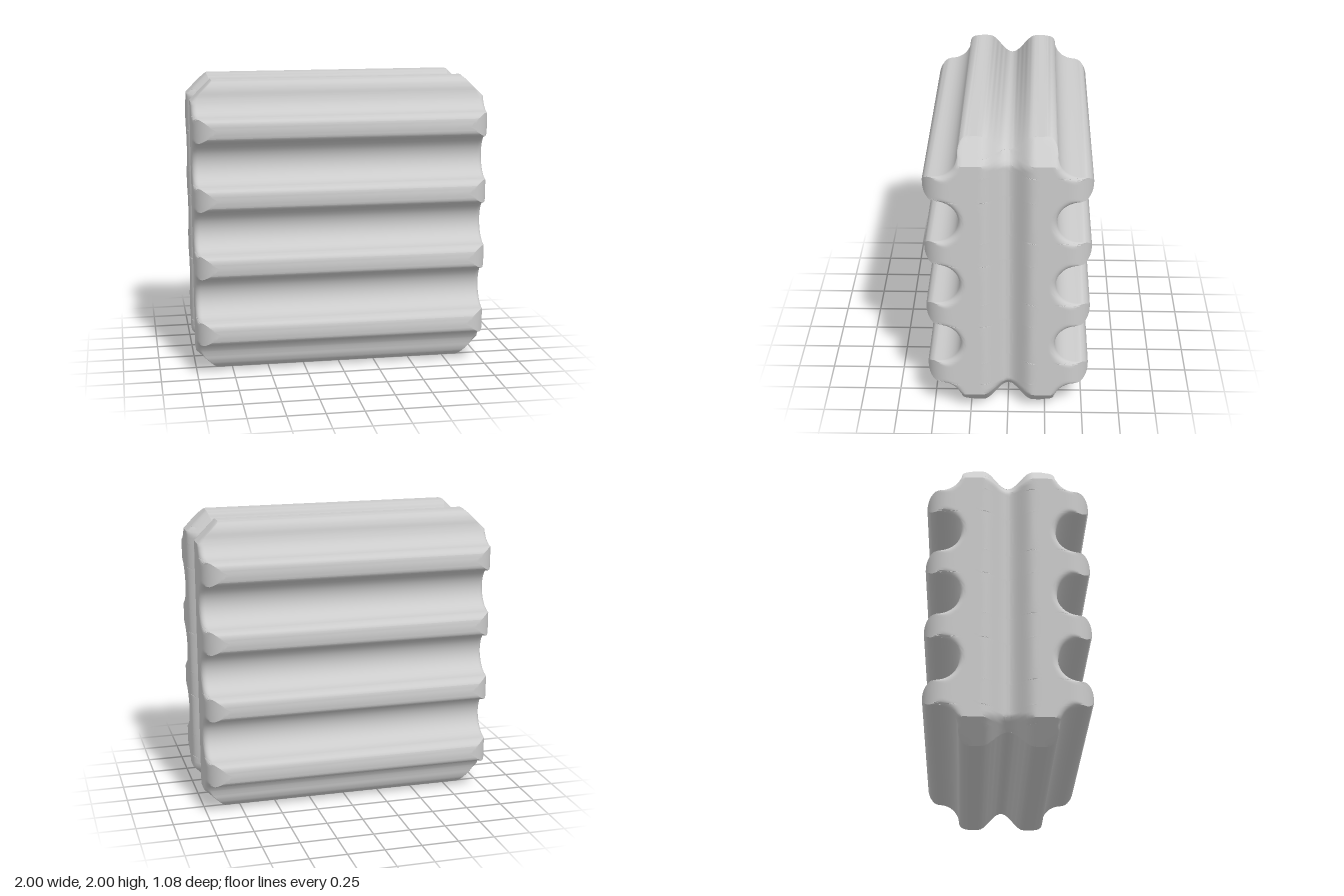
import * as THREE from 'three';
import { mergeGeometries, toCreasedNormals } from 'three/addons/utils/BufferGeometryUtils.js';

const PITCH = 0.46;        // distance between ribs
const RIB = 0.085;         // rib tip radius
const VALLEY = 0.145;      // valley radius
const CENTRE = 0.455;      // z of the rib and valley arc centres
const GROOVE = 0.11;       // depth of the groove around the rim
const LIP = 0.17;          // half width of that groove
const COLS = 30;

const arc = (r, d) => Math.sqrt(Math.max(0, r * r - d * d));

// Outer z of the ribbed face at height y
function outerZ(y) {
  const u = Math.abs(y - 1);
  if (u > 2 * PITCH) return 0.25 + 0.06 * Math.sqrt(Math.max(0, 1 - ((u - 0.92) / 0.08) ** 2));
  const toValley = Math.abs(u - PITCH * Math.round(u / PITCH));
  return toValley <= VALLEY
    ? CENTRE - arc(VALLEY, toValley)
    : CENTRE + arc(RIB, PITCH / 2 - toValley);
}

// Inner z, non-zero only where the rim groove cuts the top and bottom
function innerZ(y) {
  const g = 1 - Math.abs(y - 1);
  return g >= GROOVE ? 0 : (LIP / Math.PI) * Math.acos(2 * g / GROOVE - 1);
}

// Heights of the cross-sections: arc samples plus the ends
function sectionHeights() {
  const us = [0.86, 0.89, 0.892, 0.898, 0.908, 0.935, 0.95, 0.965, 0.978, 0.988, 0.996, 1];
  const steps = 8;
  for (let i = 0; i <= steps; i++) {
    const a = (i / steps) * Math.PI / 2;
    for (const v of [0, 1, 2]) {
      us.push(v * PITCH - VALLEY * Math.sin(a));
      if (v < 2) us.push(v * PITCH + VALLEY * Math.sin(a));
    }
    for (const f of [0.5, 1.5]) us.push(f * PITCH - RIB * Math.sin(a), f * PITCH + RIB * Math.sin(a));
  }
  const all = us.filter(u => u >= 0).flatMap(u => [1 + u, 1 - u]).sort((a, b) => a - b);
  return all.filter((y, i) => i === 0 || y - all[i - 1] > 1e-5);
}

// Distance from a point to the ribbed outline
function edgeDistance(z, y, outline) {
  let best = 1;
  for (let i = 1; i < outline.length; i++) {
    const [z0, y0] = outline[i - 1], [z1, y1] = outline[i];
    const dz = z1 - z0, dy = y1 - y0;
    const t = THREE.MathUtils.clamp(((z - z0) * dz + (y - y0) * dy) / (dz * dz + dy * dy), 0, 1);
    best = Math.min(best, Math.hypot(z - z0 - t * dz, y - y0 - t * dy));
  }
  return best;
}

// Half width in x: rim groove, chamfered corners, rounded rib ends
function halfWidth(z, y, outline) {
  const u = Math.abs(y - 1);
  const g = z < LIP ? GROOVE / 2 * (1 + Math.cos(Math.PI * z / LIP)) : 0;
  const w = Math.min(1 - g, 1.86 - Math.SQRT2 * g - u);
  const ribEnd = z > 0.38 ? 0.16 - arc(0.16, z - 0.38) : 0;
  const r = 0.04;
  const d = Math.min(r, edgeDistance(z, y, outline));
  const fillet = (r - arc(r, r - d)) * (1 - 0.75 * THREE.MathUtils.clamp((u - 0.86) / 0.05, 0, 1));
  return w - Math.max(ribEnd, fillet);
}

// Front half, lofted upward through closed cross-sections
function halfBlock() {
  const ys = sectionHeights();
  const outline = ys.map(y => [outerZ(y), y]);
  const pos = [], index = [];
  const ring = 2 * (COLS + 1);
  for (const y of ys) {
    const z0 = innerZ(y), z1 = outerZ(y), side = [];
    for (let k = 0; k <= COLS; k++) {
      const z = z0 + (z1 - z0) * (1 - Math.cos(Math.PI * k / COLS)) / 2;
      side.push([halfWidth(z, y, outline), z]);
    }
    for (const [w, z] of side) pos.push(w, y, z);
    for (const [w, z] of side.reverse()) pos.push(-w, y, z);
  }
  for (let i = 0; i < ys.length - 1; i++) {
    const open = innerZ(ys[i]) === 0 && innerZ(ys[i + 1]) === 0; // halves join here
    for (let k = 0; k < ring - (open ? 1 : 0); k++) {
      const a = i * ring + k, b = i * ring + (k + 1) % ring;
      index.push(a, a + ring, b + ring, a, b + ring, b);
    }
  }
  // Close the bottom and top
  const top = (ys.length - 1) * ring;
  for (let k = 0; k < COLS; k++) {
    const q = ring - 1 - k;
    index.push(top + k, top + q, top + k + 1, top + k + 1, top + q, top + q - 1);
    index.push(k, k + 1, q, k + 1, q - 1, q);
  }
  const geo = new THREE.BufferGeometry();
  geo.setAttribute('position', new THREE.Float32BufferAttribute(pos, 3));
  geo.setIndex(index);
  return geo;
}

export function createModel() {
  const group = new THREE.Group();
  group.name = 'ribbedBlock';
  const front = halfBlock();
  const back = front.clone().rotateY(Math.PI);
  const geo = toCreasedNormals(mergeGeometries([front, back]), 0.7);
  const block = new THREE.Mesh(geo, new THREE.MeshStandardMaterial({ color: 0xcccccc }));
  block.name = 'ribbedBody';
  group.add(block);
  return group;
}
